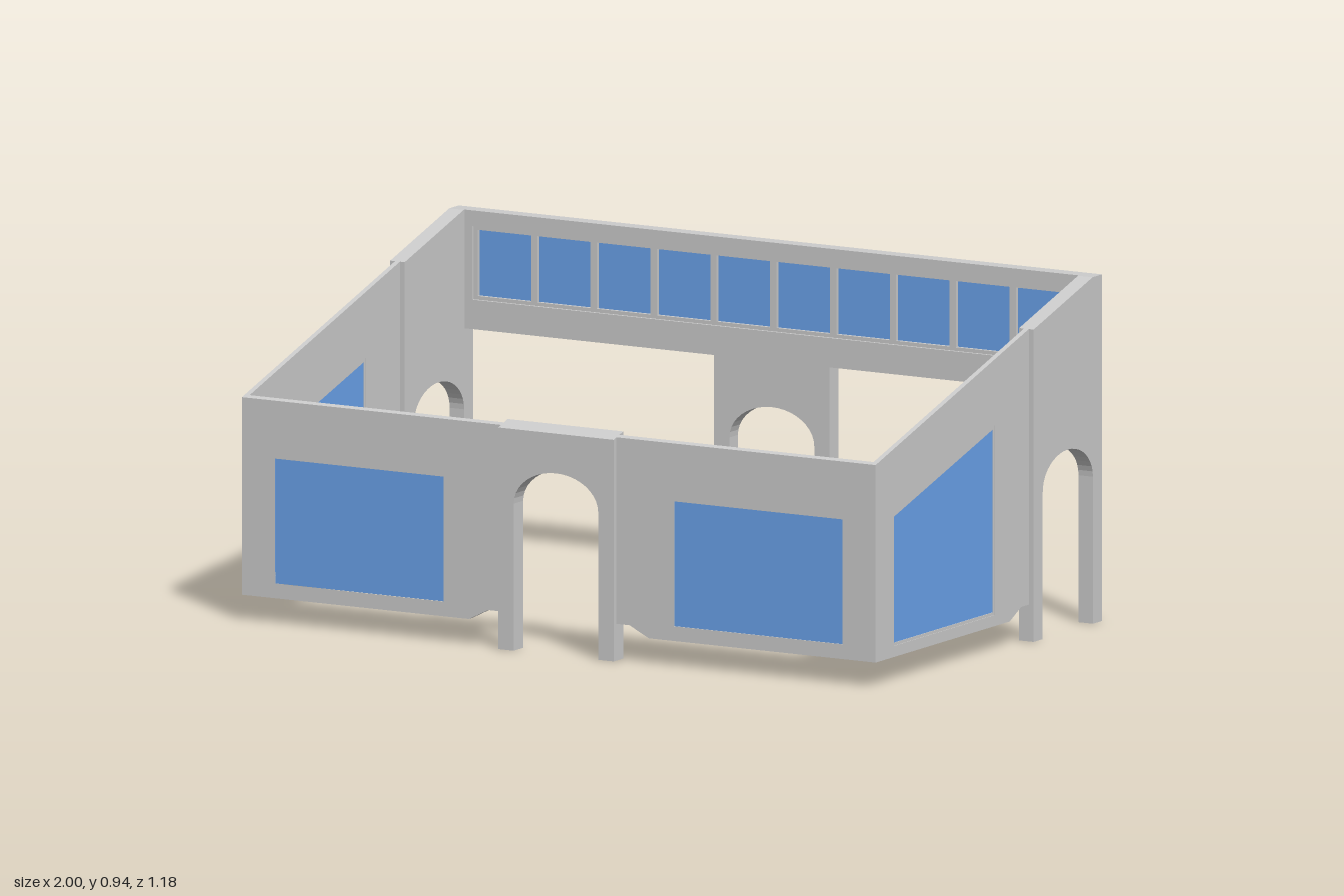
import * as THREE from 'three';

const grey = new THREE.MeshStandardMaterial({ color: 0xcccccc, flatShading: true });
const blue = new THREE.MeshStandardMaterial({ color: 0x6aa2ea });

const pts = (list) => list.map(([x, y]) => new THREE.Vector2(x, y));
const rect = (x0, x1, y0, y1) => [[x0, y0], [x1, y0], [x1, y1], [x0, y1]];

// Outline of an arched doorway from its left foot to its right foot
function archway(cx, radius = 0.132, spring = 0.4, rise = 0.095) {
  const list = [[cx - radius, 0]];
  for (let i = 0; i <= 20; i++) {
    const a = Math.PI * (1 - i / 20);
    list.push([cx + radius * Math.cos(a), spring + rise * Math.sin(a)]);
  }
  list.push([cx + radius, 0]);
  return list;
}

// Flat panel with openings, extruded from z = 0 to z = depth
function panel(name, outline, holes, depth, material = grey) {
  const shape = new THREE.Shape(pts(outline));
  for (const h of holes) shape.holes.push(new THREE.Path(pts(h)));
  const geometry = new THREE.ExtrudeGeometry(shape, { depth, bevelEnabled: false });
  const mesh = new THREE.Mesh(geometry, material);
  mesh.name = name;
  return mesh;
}

// Height of the sloping roof line at depth z
const roofY = (z) => 0.603 + (0.59 - z) * 0.301;

// Tilt the top edge of a front panel to follow the roof line
function slopeTop(mesh) {
  const p = mesh.geometry.attributes.position;
  for (let i = 0; i < p.count; i++) {
    if (p.getY(i) > 0.55) p.setY(i, roofY(p.getZ(i) + mesh.position.z));
  }
  mesh.geometry.computeVertexNormals();
  return mesh;
}

function buildFront() {
  const group = new THREE.Group();
  group.name = 'frontWall';
  const arch = panel('frontArch',
    [[-0.18, 0], ...archway(0), [0.18, 0], [0.18, 0.6], [-0.18, 0.6]], [], 0.05);
  arch.position.z = 0.54;
  group.add(slopeTop(arch));

  for (const s of [-1, 1]) {
    const outline = [[0.18, 0.1], [0.22, 0.1], [0.28, 0.07], [0.985, 0.07], [0.985, 0.6], [0.18, 0.6]];
    const opening = rect(0.358, 0.882, 0.11, 0.45);
    const flip = (list) => list.map(([x, y]) => [s * x, y]);
    const wall = panel('frontWallPanel', flip(outline), [flip(opening)], 0.015);
    wall.position.z = 0.56;
    const glass = panel('frontWindow', flip(opening), [], 0.011, blue);
    glass.position.z = 0.561;
    group.add(slopeTop(wall), glass);
  }
  return group;
}

// Side wall drawn in (-z, y) and turned to face sideways
function buildSide(s) {
  const group = new THREE.Group();
  group.name = s > 0 ? 'leftWall' : 'rightWall';
  const place = (mesh, inner, depth) => {
    mesh.rotation.y = Math.PI / 2;
    mesh.position.x = s > 0 ? inner : -inner - depth;
    group.add(mesh);
  };

  // Thick arched bay at the back corner
  place(panel('sideArch', [[0.23, 0], ...archway(0.41), [0.59, 0],
    [0.59, 0.943], [0.54, 0.943], [0.23, roofY(-0.23)]], [], 0.045), 0.955, 0.045);

  // Thin sloping wall with one large window
  const opening = [[-0.483, 0.1], [0.053, 0.1], [0.053, 0.617], [-0.483, 0.457]];
  const pane = [[-0.475, 0.108], [0.045, 0.108], [0.045, 0.606], [-0.475, 0.451]];
  place(panel('sideWallPanel', [[-0.56, 0.07], [0.13, 0.07], [0.19, 0.1], [0.23, 0.1],
    [0.23, roofY(-0.23)], [-0.56, roofY(0.56)]], [opening], 0.015), 0.97, 0.015);
  place(panel('sideWindowFrame', opening, [pane], 0.011), 0.972, 0.011);
  place(panel('sideWindow', pane, [], 0.007), 0.974, 0.007);
  group.children.at(-1).material = blue;
  return group;
}

function buildBack() {
  const group = new THREE.Group();
  group.name = 'backWall';
  const opening = rect(-0.932, 0.932, 0.7, 0.9);
  const wall = panel('backBeamAndArch',
    [[-0.18, 0], ...archway(0), [0.18, 0], [0.18, 0.62], [0.955, 0.62],
      [0.955, 0.943], [-0.955, 0.943], [-0.955, 0.62], [-0.18, 0.62]],
    [opening], 0.045);
  wall.position.z = -0.59;

  // Row of ten panes in one frame
  const panes = [];
  for (let i = 0; i < 10; i++) {
    const x = (i - 4.5) * 0.186;
    panes.push(rect(x - 0.083, x + 0.083, 0.71, 0.89));
  }
  const frame = panel('backWindowFrame', opening, panes, 0.029);
  frame.position.z = -0.582;
  group.add(wall, frame);
  for (const p of panes) {
    const glass = panel('backWindow', p, [], 0.01, blue);
    glass.position.z = -0.573;
    group.add(glass);
  }
  return group;
}

export function createModel() {
  const model = new THREE.Group();
  model.name = 'pavilionWalls';
  model.add(buildFront(), buildSide(1), buildSide(-1), buildBack());
  return model;
}
